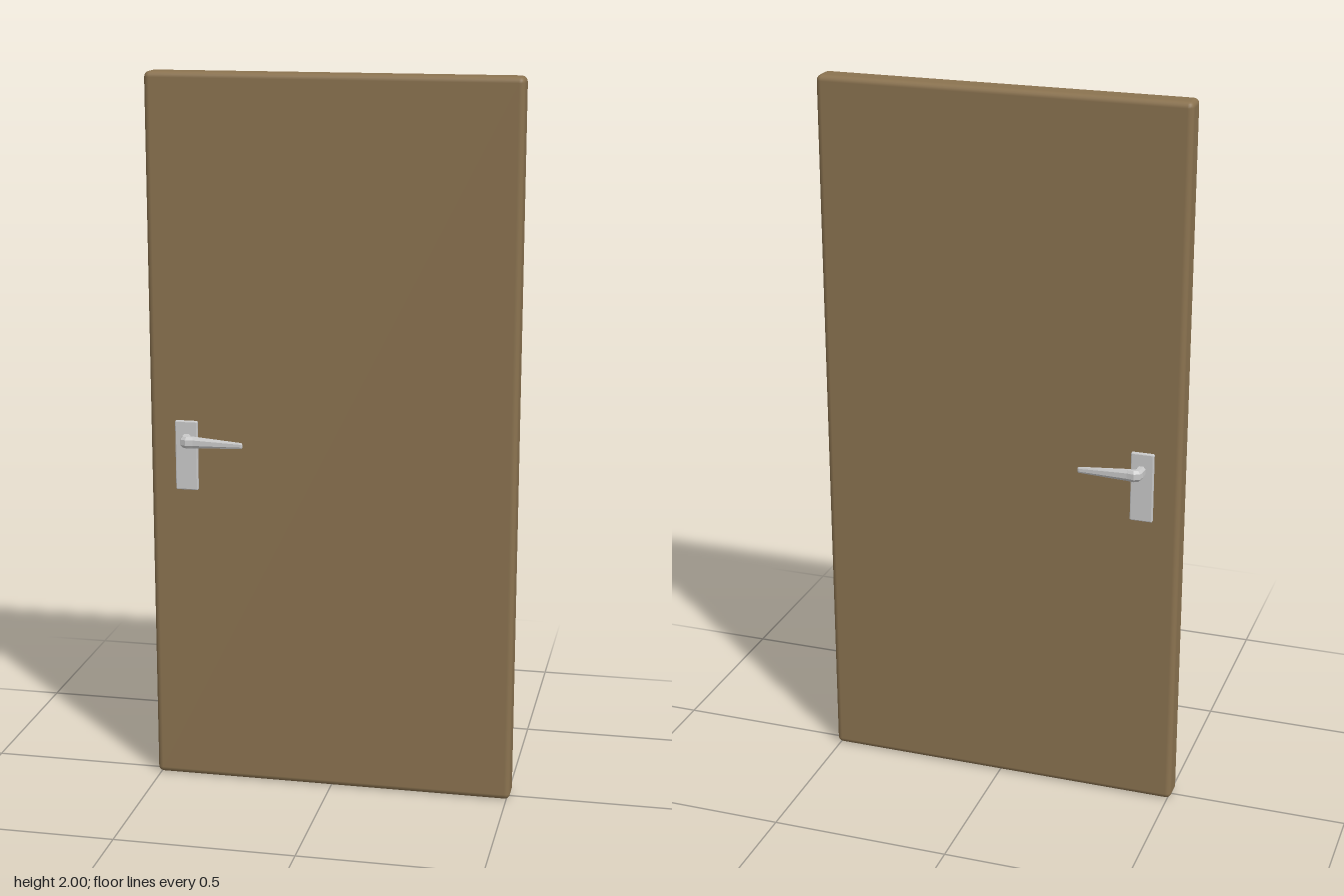
import * as THREE from 'three';
import { RoundedBoxGeometry } from 'three/addons/geometries/RoundedBoxGeometry.js';

// Lever sections from spindle to tip: [x, z, in-plane angle, half width, half height, y]
const LEVER = [
  [-0.403, 0.040, 90, 0.012, 0.014, 1.0],
  [-0.402, 0.070, 90, 0.012, 0.015, 1.0],
  [-0.399, 0.080, 60, 0.0135, 0.0155, 1.0],
  [-0.391, 0.083, 20, 0.0115, 0.016, 1.0],
  [-0.375, 0.0815, 0, 0.009, 0.0155, 1.0],
  [-0.24, 0.082, 0, 0.0035, 0.008, 0.997],
  [-0.237, 0.082, 0, 0.002, 0.006, 0.997],
];

// Eight-sided loft; side is +1 for the front, -1 for the back
function leverGeometry(side) {
  const n = 8, pos = [], idx = [];
  const tri = (a, b, c) => (side > 0 ? idx.push(a, b, c) : idx.push(a, c, b));
  for (const [x, z, deg, hw, hh, y] of LEVER) {
    const a = THREE.MathUtils.degToRad(deg);
    for (let i = 0; i < n; i++) {
      // box section with trimmed corners
      const t = ((i + 0.5) / n) * Math.PI * 2;
      const u = THREE.MathUtils.clamp(Math.cos(t) * 1.3, -1, 1) * hw;
      const v = THREE.MathUtils.clamp(Math.sin(t) * 1.3, -1, 1) * hh;
      pos.push(x - Math.sin(a) * u, y + v, side * (z + Math.cos(a) * u));
    }
  }
  const last = (LEVER.length - 1) * n;
  for (let s = 0; s < last; s += n) {
    for (let i = 0; i < n; i++) {
      const j = (i + 1) % n;
      tri(s + i, s + n + j, s + j);
      tri(s + i, s + n + i, s + n + j);
    }
  }
  // end caps
  for (let i = 1; i < n - 1; i++) {
    tri(0, i, i + 1);
    tri(last, last + i + 1, last + i);
  }
  const g = new THREE.BufferGeometry();
  g.setAttribute('position', new THREE.Float32BufferAttribute(pos, 3));
  g.setIndex(idx);
  g.computeVertexNormals();
  return g;
}

export function createModel() {
  const model = new THREE.Group();
  model.name = 'door';
  const wood = new THREE.MeshStandardMaterial({ color: 0x8b7350 });
  const metal = new THREE.MeshStandardMaterial({ color: 0xcccccc, flatShading: true, side: THREE.DoubleSide });

  // Slab with softened edges
  const slab = new THREE.Mesh(new RoundedBoxGeometry(1.02, 2, 0.073, 2, 0.016), wood);
  slab.name = 'doorSlab';
  slab.position.y = 1;
  model.add(slab);

  // Handle set on each face
  for (const side of [1, -1]) {
    const handle = new THREE.Group();
    handle.name = side > 0 ? 'frontHandle' : 'backHandle';

    const plate = new THREE.Mesh(new RoundedBoxGeometry(0.063, 0.196, 0.018, 1, 0.003), metal);
    plate.name = 'backplate';
    plate.position.set(-0.405, 0.952, side * 0.0375);

    const lever = new THREE.Mesh(leverGeometry(side), metal);
    lever.name = 'lever';

    handle.add(plate, lever);
    model.add(handle);
  }
  return model;
}
